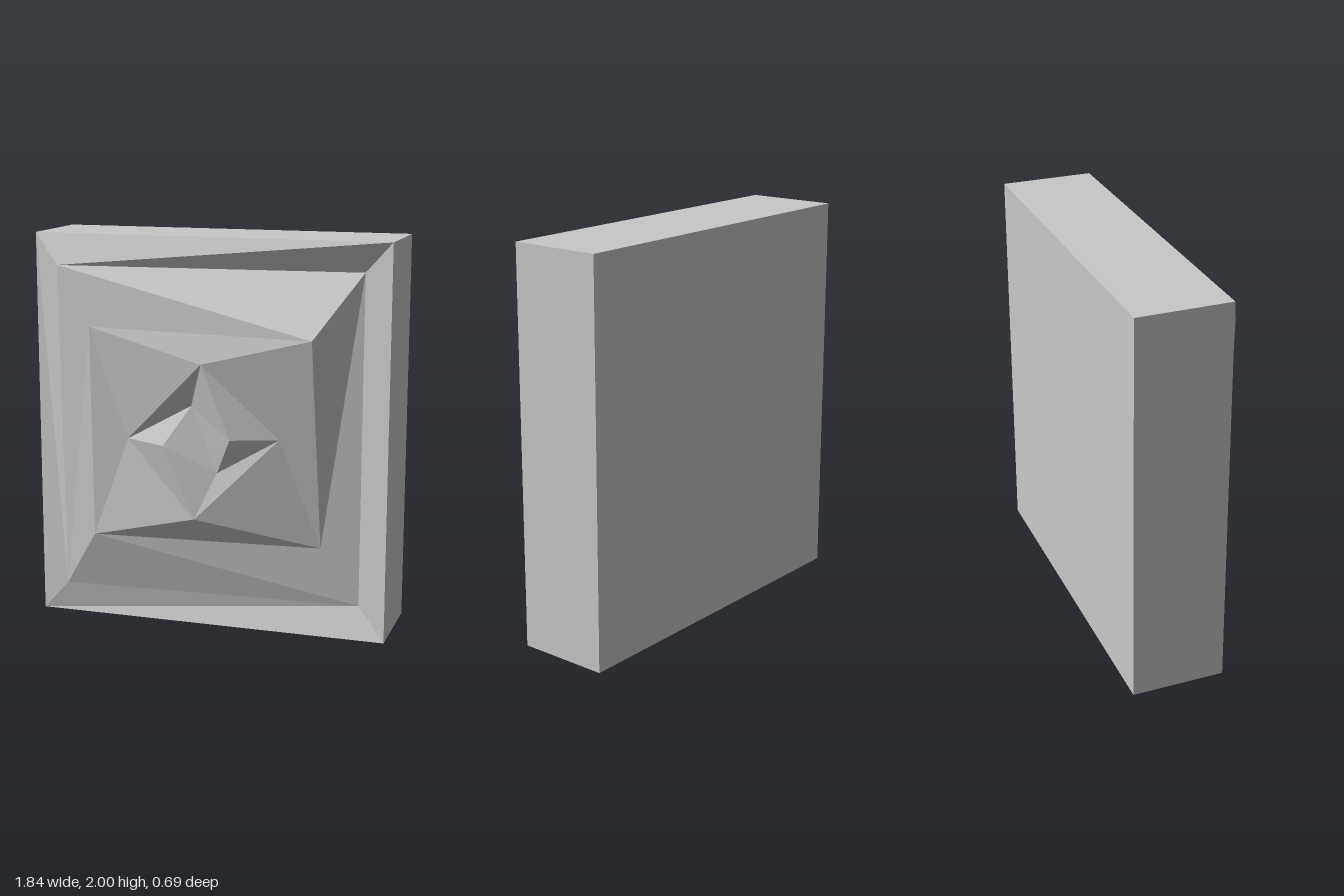
import * as THREE from 'three';

const stone = new THREE.MeshStandardMaterial({ color: 0xc8c8c8 });
stone.name = 'paleGrey';

// Rings of four corners, clockwise from top left, spiralling inwards
const rim = [[-0.92, 2, 0.125], [0.92, 2, 0.125], [0.92, 0, 0.125], [-0.92, 0, 0.125]];
const back = rim.map(([x, y]) => [x, y, -0.348]);
const bevel = [[-0.775, 1.845, 0.2], [0.775, 1.845, 0.062], [0.775, 0.16, 0.062], [-0.775, 0.16, 0.145]];
const outer = [[-0.595, 1.545, 0.23], [0.585, 1.545, 0.345], [0.585, 0.46, 0.11], [-0.59, 0.46, 0.212]];
const middle = [[-0.4, 0.98, 0.21], [0.025, 1.4, 0.323], [0.4, 1.03, 0.235], [-0.03, 0.6, 0.268]];
const inner = [[-0.19, 0.97, 0.278], [-0.06, 1.17, 0.215], [0.17, 1.03, 0.315], [0.08, 0.84, 0.235]];

// Flat-shaded mesh from a list of triangles
function facets(name, triangles) {
  const geometry = new THREE.BufferGeometry();
  geometry.setAttribute('position', new THREE.Float32BufferAttribute(triangles.flat(2), 3));
  geometry.computeVertexNormals();
  const mesh = new THREE.Mesh(geometry, stone);
  mesh.name = name;
  return mesh;
}

// Band of triangles joining an outer ring to the next ring in
function band(o, n, twisted = true) {
  const triangles = [];
  for (let i = 0; i < 4; i++) {
    const j = (i + 1) % 4;
    if (twisted) triangles.push([o[i], n[j], o[j]], [o[i], n[i], n[j]]);
    else triangles.push([o[i], n[i], o[j]], [o[j], n[i], n[j]]);
  }
  return triangles;
}

export function createModel() {
  const group = new THREE.Group();
  group.name = 'spiralReliefPanel';

  // Slab: four sides and the back
  group.add(facets('slabSides', band(back, rim, false)));
  group.add(facets('slabBack', [[back[0], back[1], back[2]], [back[0], back[2], back[3]]]));

  // Faceted relief on the front
  group.add(facets('bevelledFrame', band(rim, bevel, false)));
  group.add(facets('outerTwist', band(bevel, outer)));
  group.add(facets('middleTwist', band(outer, middle)));
  group.add(facets('innerTwist', band(middle, inner)));
  group.add(facets('centreFacets', [
    [inner[0], inner[3], inner[1]],
    [inner[1], inner[3], inner[2]],
  ]));
  return group;
}
